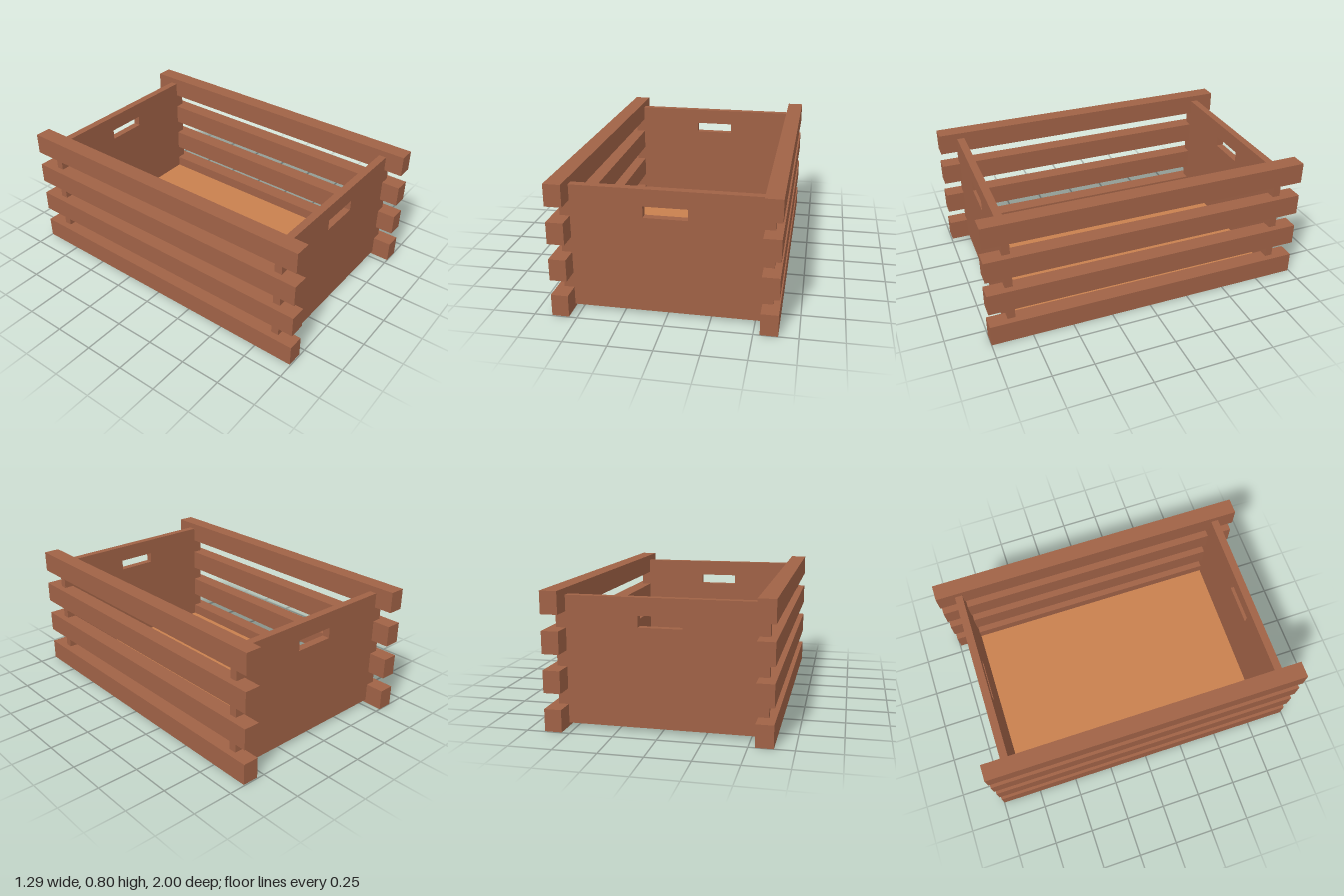
import * as THREE from 'three';

export function createModel() {
  const wood = new THREE.MeshStandardMaterial({ color: 0xa06246 });
  wood.name = 'brown wood';
  const lightWood = new THREE.MeshStandardMaterial({ color: 0xc8804e });
  lightWood.name = 'light wood';

  const crate = new THREE.Group();
  crate.name = 'crate';

  const add = (name, geometry, material, x, y, z) => {
    const mesh = new THREE.Mesh(geometry, material);
    mesh.name = name;
    mesh.position.set(x, y, z);
    crate.add(mesh);
  };

  // Side slats: four evenly spaced bars on each side
  const slat = new THREE.BoxGeometry(0.1, 0.13, 1.994);
  for (const [side, sx] of [['left', 1], ['right', -1]]) {
    for (let i = 0; i < 4; i++) {
      add(`${side}Slat${i + 1}`, slat, wood, sx * 0.592, 0.065 + i * 0.2225, 0);
    }
  }

  // End panels with a rectangular hand hole
  const rect = (path, x, y0, y1) => path
    .moveTo(-x, y0).lineTo(x, y0).lineTo(x, y1).lineTo(-x, y1).closePath();
  const outline = new THREE.Shape();
  rect(outline, 0.601, 0.02, 0.76);
  const handHole = new THREE.Path();
  rect(handHole, 0.126, 0.593, 0.659);
  outline.holes.push(handHole);
  const panel = new THREE.ExtrudeGeometry(outline, { depth: 0.047, bevelEnabled: false });
  panel.translate(0, 0, -0.0235);
  add('frontPanel', panel, wood, 0, 0, 0.859);
  add('backPanel', panel, wood, 0, 0, -0.859);

  // Floor board, set just above the panels' lower edges
  add('floor', new THREE.BoxGeometry(1.084, 0.02, 1.671), lightWood, 0, 0.05, 0);

  // The whole crate sits very slightly turned
  crate.rotation.y = -0.005;
  const model = new THREE.Group();
  model.name = 'woodenCrate';
  model.add(crate);
  return model;
}
